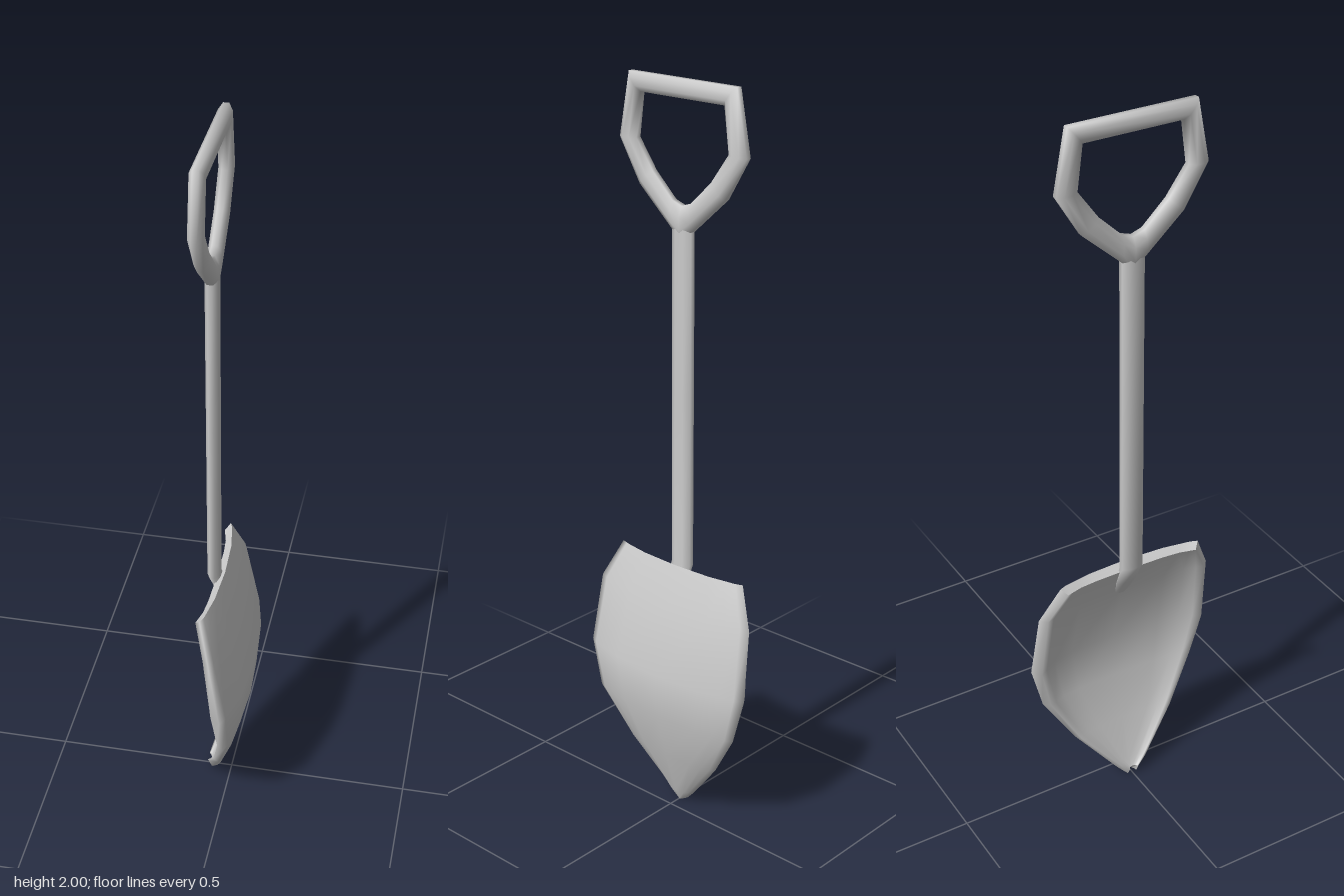
import * as THREE from 'three';

const material = new THREE.MeshStandardMaterial({ color: 0xcccccc });

// Skins a row of rings (each a list of [x, y, z]) with smooth normals.
function loft(name, rings, closed = false) {
  const n = rings[0].length;
  const midline = r => r.map((p, j) => p.map((v, k) => (v + r[n - 1 - j][k]) / 2));
  const first = rings[0], last = rings[rings.length - 1];
  // Open lofts get crisp end caps: a repeated ring, then its midline
  const all = closed ? rings : [midline(first), first, ...rings, last, midline(last)];
  const index = [];
  const spans = closed ? all.length : all.length - 1;
  for (let i = 0; i < spans; i++) {
    const i2 = (i + 1) % all.length;
    for (let j = 0; j < n; j++) {
      const j2 = (j + 1) % n;
      const a = i * n + j, b = i * n + j2, c = i2 * n + j, d = i2 * n + j2;
      index.push(a, b, d, a, d, c);
    }
  }
  const geometry = new THREE.BufferGeometry();
  geometry.setAttribute('position', new THREE.Float32BufferAttribute(all.flat(2), 3));
  geometry.setIndex(index);
  geometry.computeVertexNormals();
  const mesh = new THREE.Mesh(geometry, material);
  mesh.name = name;
  return mesh;
}

const SIDES = 8;
const angles = Array.from({ length: SIDES }, (_, j) => ((j + 0.5) / SIDES) * Math.PI * 2);
const shaftX = -0.047;

// Dished blade, bulging to +x, with a thick rim and a pointed tip
function makeBlade() {
  // y, half width, rim x, bulge x, slant of the edge
  const rows = [
    [0.718, 0.212, -0.058, -0.018, 0.008],
    [0.62, 0.262, -0.03, 0.02, 0],
    [0.43, 0.274, -0.008, 0.066, 0],
    [0.3, 0.24, 0.003, 0.054, 0],
    [0.165, 0.155, -0.024, 0.02, 0],
    [0.04, 0.045, -0.06, -0.022, -0.008],
    [0.012, 0.014, -0.068, -0.036, -0.012],
  ];
  // Share of the half width, share of the depth: front skin and back skin
  const front = [[0, 0], [0.53, 0.13], [0.75, 0.32], [0.91, 0.46], [1, 0.64]];
  const back = [[0, 0], [0.5, 0.13], [0.72, 0.36], [0.85, 0.75], [0.93, 1]];
  const across = half => [...half.slice(1).reverse().map(([s, d]) => [-s, d]), ...half];
  const thickness = 0.022;
  const rings = rows.map(([y, w, rim, bulge, slant]) => [
    ...across(front).map(([s, d]) => [bulge - (bulge - rim) * d, y + slant, s * w]),
    ...across(back).reverse().map(([s, d]) =>
      [bulge - (bulge - rim) * d - thickness * (1 - d), y - slant, s * w]),
  ]);
  return loft('blade', rings);
}

// Flattened shaft, bending into the blade at its foot
function makeShaft() {
  // y, x, radius in x, radius in z
  const stations = [
    [0.6, 0.01, 0.006, 0.02],
    [0.66, -0.018, 0.014, 0.032],
    [0.725, shaftX, 0.018, 0.034],
    [1.2, shaftX, 0.018, 0.034],
    [1.65, shaftX, 0.018, 0.034],
  ];
  return loft('shaft', stations.map(([y, x, rx, rz]) =>
    angles.map(a => [x + Math.cos(a) * rx, y, -Math.sin(a) * rz])));
}

// D-shaped grip: a rounded bar swept between its outer and inner outline
function makeGrip() {
  // outer z, outer y, inner z, inner y
  const half = [
    [0.034, 1.63, 0.03, 1.7],
    [0.14, 1.725, 0.095, 1.762],
    [0.206, 1.835, 0.15, 1.838],
    [0.174, 2, 0.135, 1.953],
  ];
  const mirrored = half.map(([oz, oy, iz, iy]) => [-oz, oy, -iz, iy]).reverse();
  const stations = [[0, 1.6, 0, 1.69], ...half, ...mirrored];
  return loft('grip', stations.map(([oz, oy, iz, iy]) =>
    angles.map(a => {
      // Widened so the flats of the bar reach the outline
      const c = Math.cos(a) / Math.cos(Math.PI / SIDES);
      return [
        shaftX + Math.sin(a) * 0.0195,
        (oy + iy) / 2 + ((oy - iy) / 2) * c,
        (oz + iz) / 2 + ((oz - iz) / 2) * c,
      ];
    })), true);
}

export function createModel() {
  const group = new THREE.Group();
  group.name = 'shovel';
  group.add(makeBlade(), makeShaft(), makeGrip());
  return group;
}
